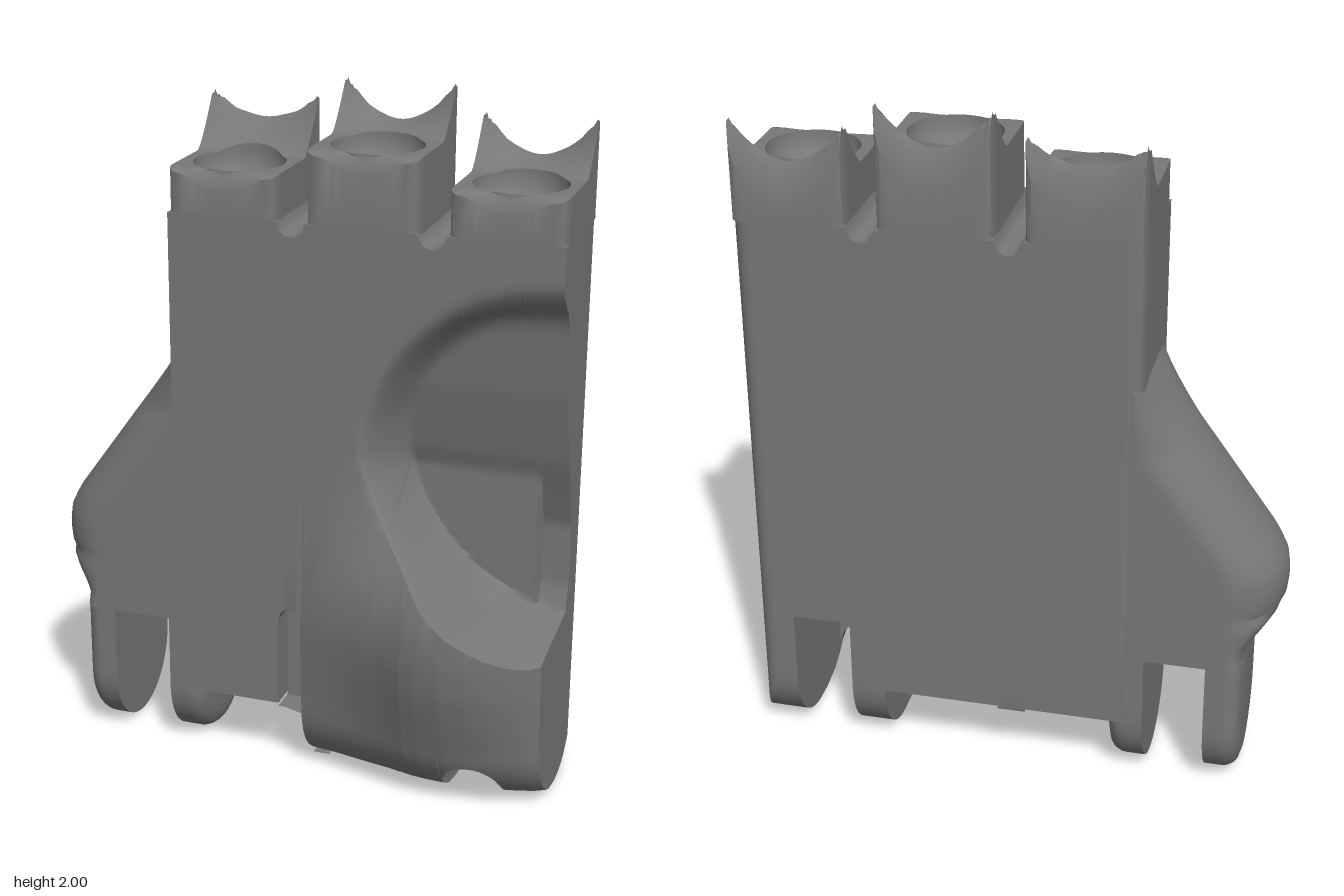
import * as THREE from 'three';
import { toCreasedNormals } from 'three/addons/utils/BufferGeometryUtils.js';

const material = new THREE.MeshStandardMaterial({ color: 0x777777 });
const { clamp, lerp, smoothstep } = THREE.MathUtils;
const range = (n, f) => Array.from({ length: n + 1 }, (_, i) => f(i / n));

// piecewise-linear lookup in a list of [position, value]
function table(pts, t) {
  if (t <= pts[0][0]) return pts[0][1];
  for (let i = 1; i < pts.length; i++) {
    const [a, u] = pts[i - 1], [b, v] = pts[i];
    if (t <= b) return lerp(u, v, (t - a) / (b - a));
  }
  return pts[pts.length - 1][1];
}

// closed solid from equal-length loops; flat = the two axes used to fill the ends
function loft(name, loops, flat) {
  const n = loops[0].length, tris = [];
  const P = loops.flat();
  for (let j = 0; j < loops.length - 1; j++) {
    for (let i = 0; i < n; i++) {
      const a = j * n + i, b = j * n + (i + 1) % n;
      tris.push([a, b, b + n], [a, b + n, a + n]);
    }
  }
  for (const end of [0, loops.length - 1]) {
    const pts = loops[end].map(p => new THREE.Vector2(p[flat[0]], p[flat[1]]));
    const sign = Math.sign(THREE.ShapeUtils.area(pts));
    for (const t of THREE.ShapeUtils.triangulateShape(pts.slice(), [])) {
      const same = Math.sign(THREE.ShapeUtils.area(t.map(i => pts[i]))) === sign;
      const k = t.map(i => i + end * n);
      tris.push(same === (end > 0) ? k : k.reverse());
    }
  }
  const V = P.map(p => new THREE.Vector3(...p));
  const cross = new THREE.Vector3();
  let volume = 0;
  for (const [a, b, c] of tris) volume += cross.crossVectors(V[b], V[c]).dot(V[a]);
  if (volume < 0) tris.forEach(t => t.reverse());
  const geo = new THREE.BufferGeometry();
  geo.setAttribute('position', new THREE.Float32BufferAttribute(P.flat(), 3));
  geo.setIndex(tris.flat());
  const mesh = new THREE.Mesh(toCreasedNormals(geo, 0.6), material);
  mesh.name = name;
  return mesh;
}

const MID = -0.105, HALF = 0.195, CRATER_X = 0.76, CRATER_Y = 1.02;
const WIDTH = [[-0.02, 0], [0.04, 0.16], [0.2, 0.48], [0.3, 0.7], [0.38, 0.9], [0.43, 0.97], [0.5, 1], [0.57, 0.95], [0.63, 0.85], [0.69, 0.7], [0.73, 0.56], [0.76, 0.37]];
const BUMP = [[0, 0.08], [0.05, 0.1], [0.2, 0.135], [0.3, 0.17], [0.4, 0.2], [0.5, 0.217], [0.6, 0.22], [0.66, 0.2], [0.75, 0.14], [0.82, 0.09], [0.93, 0.03], [1.05, 0]];
const FLOOR = [[0.5, -0.12], [0.6, -0.15], [0.78, -0.155], [0.9, -0.115], [1, -0.08], [1.2, -0.03], [1.42, 0.005], [1.5, 0.04], [1.55, 0.09]];

// outer front skin: slab plus the thumb swelling
function skin(x, y) {
  const slab = MID + Math.sqrt(Math.max(0, HALF ** 2 - (HALF * Math.max(0, 0.2 - y) / 0.2) ** 2));
  const shift = 0.3 * clamp(y - 0.5, 0, 0.5) * (1 - smoothstep(x, 0.3, 0.6));
  return slab + table(WIDTH, x - shift) * table(BUMP, y);
}

// thumb socket hollow
function craterEdge(x, power) {
  const u = clamp((CRATER_X - x) / 0.56, 0, 1);
  return 0.53 * Math.pow(1 - Math.pow(u, power), 1 / power);
}
function hollow(x, y) {
  const u = (CRATER_X - x) / 0.56;
  const q = Math.abs(y - CRATER_Y) / Math.max(1e-6, craterEdge(x, y < CRATER_Y ? 1.5 : 2));
  const inside = Math.max(0, 1 - u * u) * Math.max(0, 1 - q * q);
  const depth = Math.max(table(FLOOR, y), x < 0.68 ? -0.1 : -0.155);
  return lerp(skin(x, y), depth, smoothstep(inside, 0, lerp(0.14, 0.36, smoothstep(y, 0.6, 1.05))));
}

// one slice of the palm at x, as a loop in the y-z plane
function palmSlice(x, { back, inner, front, groove }) {
  const gap = [0, 0.4].find(c => Math.abs(x - c) < 0.0401);
  const top = gap === undefined ? 1.66 : 1.66 - Math.sqrt(Math.max(0, 0.0016 - (x - gap) ** 2));
  const e = Math.max(0, Math.abs(x - 0.2) - 0.51);
  const zBack = MID - HALF + 0.05 - Math.sqrt(Math.max(0, 0.0025 - e * e));
  const bottom = front(x);
  let lo = CRATER_Y - craterEdge(x, 1.5), hi = CRATER_Y + craterEdge(x, 2), inside = hollow;
  if (groove) {
    lo = bottom;
    hi = 0.47 + Math.sqrt(Math.max(0, 0.0016 - x * x));
    inside = () => 0.01;
  }
  const foot = z => (z < MID ? 0.2 - 0.2 * Math.sqrt(Math.max(0, 1 - ((z - MID) / HALF) ** 2)) : 0);
  const pts = [[zBack, top], [zBack, Math.max(0.25, back + 0.03)]];
  pts.push(...range(14, t => {
    const z = lerp(zBack, inner, 1 - Math.cos(t * Math.PI / 2));
    return [z, Math.max(foot(z), back)];
  }));
  pts.push([inner, bottom]);
  pts.push(...range(20, t => lerp(bottom, lo, t * t * 0.5 + t * 0.5)).map(y => [skin(x, y), y]));
  pts.push(...range(50, t => lerp(lo, hi, 0.45 * t * t + 0.55 * t)).map(y => [inside(x, y), y]));
  pts.push(...range(6, t => lerp(hi, top, t)).map(y => [skin(x, y), y]));
  return pts.map(([z, y]) => [x, y, z]);
}

// hinge lug with a round foot; side = which x edge is softened
function lug(x0, x1, side) {
  const r = 0.05;
  const loops = range(12, t => {
    const x = lerp(x0, x1, t);
    const e = Math.max(0, r - (side < 0 ? x - x0 : x1 - x));
    const h = HALF - r + Math.sqrt(Math.max(0, r * r - e * e));
    const foot = range(20, a => [x, 0.2 - h * Math.sin(a * Math.PI) * 0.2 / HALF, MID - h * Math.cos(a * Math.PI)]);
    return [[x, 0.425, MID - h], [x, 0.23, MID - h], ...foot, [x, 0.23, MID + h], [x, 0.425, MID + h]];
  });
  return loft('hingeLug', loops, [2, 1]);
}

// knuckle post: round socket on top, saddle-shaped ridge behind
function knuckle(cx, h, dip, peak) {
  const N = 96, R = 0.13, zs = -0.055;
  const topY = (x, z) => {
    const u = (x - cx) / 0.157;
    const ridge = Math.pow(clamp((-0.14 - z) / 0.125, 0, 1), 1.3);
    const backBevel = 0.1 * Math.pow(clamp((-0.265 - z) / 0.035, 0, 1), 1.5);
    const frontBevel = 0.05 * clamp((z - 0.06) / 0.03, 0, 1) ** 2 * Math.max(0.25, 1 - 1.4 * u * u);
    return lerp(h, dip + (peak - dip) * u * u, ridge) - backBevel - frontBevel;
  };
  const ring = f => Array.from({ length: N }, (_, i) => f(Math.cos(i / N * 2 * Math.PI), Math.sin(i / N * 2 * Math.PI)));
  const outline = (c, s) => {
    const k = Math.pow(Math.abs(c) ** 14 + Math.abs(s) ** 14, -1 / 14);
    return [cx + 0.16 * c * k, MID + HALF * s * k];
  };
  const loops = range(10, t => {
    const a = lerp(0.05, 1, t) * Math.PI / 2;
    return ring((c, s) => [cx + R * Math.sin(a) * c, h - 0.11 * Math.cos(a), zs + R * Math.sin(a) * s]);
  });
  loops.push(...range(14, t => ring((c, s) => {
    const [ox, oz] = outline(c, s);
    const x = lerp(cx + R * c, ox, t), z = lerp(zs + R * s, oz, t);
    return [x, topY(x, z), z];
  })));
  loops.push(ring((c, s) => {
    const [x, z] = outline(c, s);
    return [x, 1.65, z];
  }));
  return loft('knuckleSocket', loops, [0, 2]);
}

export function createModel() {
  const model = new THREE.Group();
  model.name = 'mechanicalPalm';

  // palm, in strips between the cut-outs
  const strips = [
    { x: [-0.36, -0.04], back: 0.2, inner: 0, front: () => 0.2 },
    { x: [-0.04, 0.04], back: 0.19, inner: -0.02, front: () => 0.19, groove: true },
    { x: [0.04, 0.09], back: 0.2, inner: 0, front: () => 0.005 },
    { x: [0.09, 0.3], back: 0.2, inner: 0, front: x => 0.06 - 0.1 * x },
    { x: [0.3, 0.38], back: 0.2, inner: 0, front: () => 0.005 },
    { x: [0.38, 0.48], back: 0, inner: MID, front: () => 0 },
    { x: [0.48, 0.65], back: 0.42, inner: 0.1, front: x => 0.065 + Math.sqrt(Math.max(0, 0.085 ** 2 - (x - 0.565) ** 2)) },
    { x: [0.65, 0.76], back: 0, inner: MID, front: () => 0 },
  ];
  const palm = new THREE.Group();
  palm.name = 'palm';
  for (const s of strips) {
    const [a, b] = s.x;
    const steps = Math.max(10, Math.round((b - a) / 0.01));
    palm.add(loft('palmStrip', range(steps, t => palmSlice(lerp(a, b, t), s)), [2, 1]));
  }
  model.add(palm);

  // rounded outer flare on the right edge
  const flare = [[0.42, -0.66], [0.46, -0.663], [0.49, -0.68], [0.53, -0.715], [0.56, -0.74], [0.6, -0.757], [0.65, -0.762], [0.7, -0.755], [0.75, -0.73], [1, -0.55], [1.26, -0.36]];
  model.add(loft('sideFlare', range(42, t => {
    const y = lerp(0.42, 1.26, t), xo = table(flare, y);
    const blend = clamp((y - 0.42) / 0.16, 0, 1);
    const rx = Math.min(lerp(0.05, 0.16, blend), -0.34 - xo), power = 2 / lerp(5, 2, blend);
    const arc = range(28, a => {
      const s = Math.max(0, Math.sin(a * Math.PI)), c = Math.cos(a * Math.PI);
      return [xo + rx - rx * s ** power, y, MID - HALF * Math.sign(c) * Math.abs(c) ** power];
    });
    return [[-0.33, y, MID - HALF], ...arc, [-0.33, y, MID + HALF]];
  }), [0, 2]));

  // right-hand hinge
  model.add(lug(-0.66, -0.56, -1), lug(-0.385, -0.28, 1));

  // three finger posts
  model.add(knuckle(-0.2, 1.785, 1.87, 1.94));
  model.add(knuckle(0.2, 1.86, 1.89, 2));
  model.add(knuckle(0.6, 1.785, 1.82, 1.93));
  return model;
}
